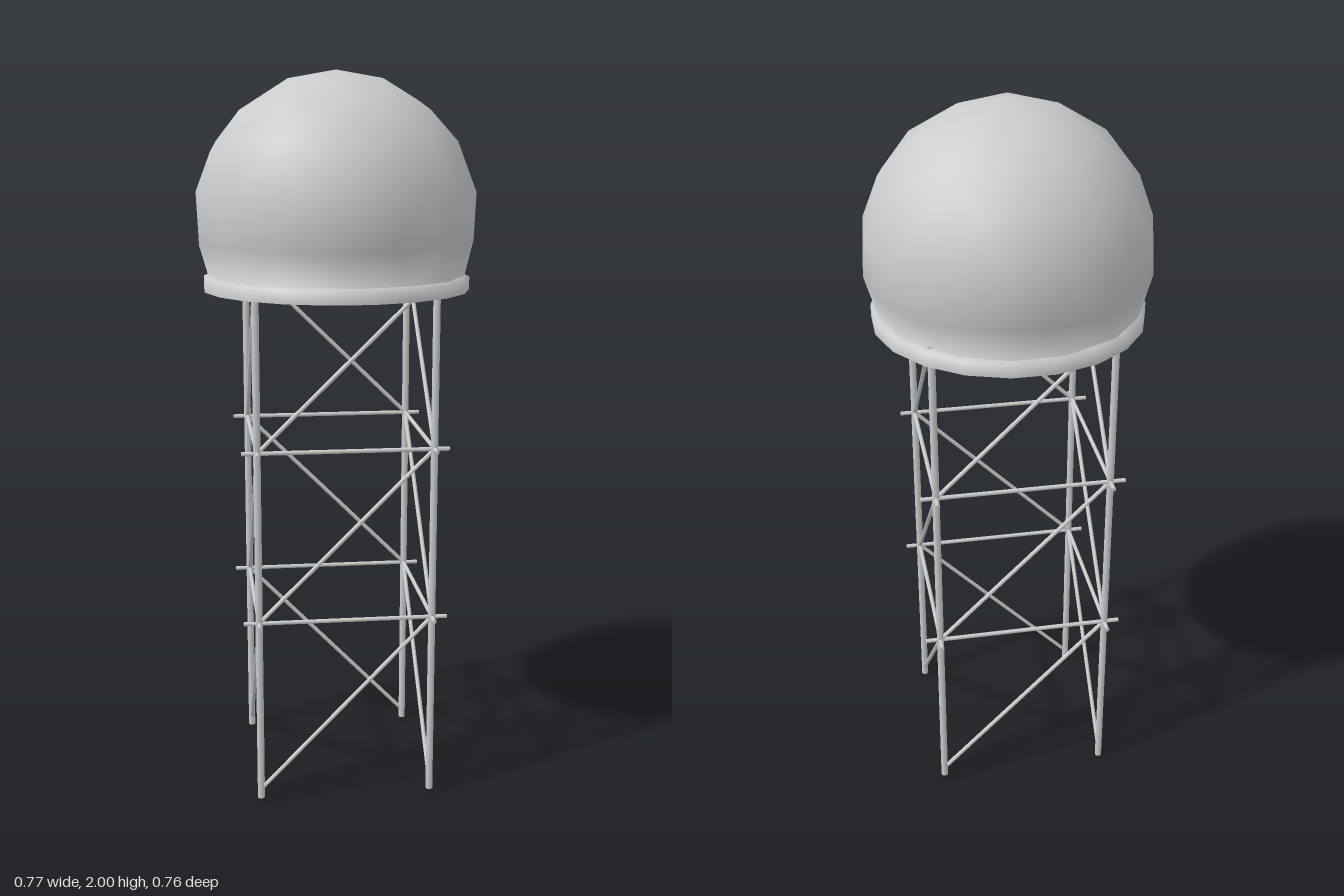
import * as THREE from 'three';

const grey = new THREE.MeshStandardMaterial({ color: 0xcccccc });
const greyShell = new THREE.MeshStandardMaterial({ color: 0xcccccc, side: THREE.DoubleSide });

const LEG_R = 0.34, DOME_R = 0.39, DOME_Y = 1.61, CUT_Y = 1.45;

// Round bar between two points, optionally running past both ends
function bar(name, a, b, radius, overhang = 0) {
  const dir = b.clone().sub(a);
  const geo = new THREE.CylinderGeometry(radius, radius, dir.length() + 2 * overhang, 8);
  const mesh = new THREE.Mesh(geo, grey);
  mesh.name = name;
  mesh.position.copy(a).add(b).multiplyScalar(0.5);
  mesh.quaternion.setFromUnitVectors(new THREE.Vector3(0, 1, 0), dir.normalize());
  return mesh;
}

// Geodesic shell with a corner at the top, cut off flat at its base
function domeGeometry() {
  const ico = new THREE.IcosahedronGeometry(DOME_R, 2);
  ico.rotateZ(Math.atan(2 / (1 + Math.sqrt(5))));
  ico.rotateY(Math.PI);
  ico.translate(0, DOME_Y, 0);
  const src = ico.attributes.position;
  const cutRadius = Math.sqrt(DOME_R ** 2 - (DOME_Y - CUT_Y) ** 2);
  const positions = [], normals = [];
  const v = new THREE.Vector3(), n = new THREE.Vector3();
  for (let i = 0; i < src.count; i += 3) {
    const face = [i, i + 1, i + 2];
    if (face.every((k) => src.getY(k) < CUT_Y)) continue;
    for (const k of face) {
      v.fromBufferAttribute(src, k);
      n.set(v.x, v.y - DOME_Y, v.z).normalize();
      if (v.y < CUT_Y) {
        // Pull low corners onto the base circle, with normals easing into the ring
        const s = cutRadius / Math.hypot(v.x, v.z);
        v.set(v.x * s, CUT_Y, v.z * s);
        n.set(v.x, 0.4 * cutRadius, v.z).normalize();
      }
      positions.push(v.x, v.y, v.z);
      normals.push(n.x, n.y, n.z);
    }
  }
  const geo = new THREE.BufferGeometry();
  geo.setAttribute('position', new THREE.Float32BufferAttribute(positions, 3));
  geo.setAttribute('normal', new THREE.Float32BufferAttribute(normals, 3));
  return geo;
}

export function createModel() {
  const model = new THREE.Group();
  model.name = 'domeTower';

  const dome = new THREE.Mesh(domeGeometry(), greyShell);
  dome.name = 'dome';
  model.add(dome);

  // Open collar under the dome
  const profile = [[0.37, 1.41], [0.37, 1.445], [0.34, 1.452]].map((p) => new THREE.Vector2(...p));
  const collar = new THREE.Mesh(new THREE.LatheGeometry(profile, 20), greyShell);
  collar.name = 'collar';
  model.add(collar);

  // Four legs with a spiral of braces: each side has one diagonal per storey
  const frame = new THREE.Group();
  frame.name = 'frame';
  const at = (i, y) => {
    const a = (i * Math.PI) / 2;
    return new THREE.Vector3(LEG_R * Math.sin(a), y, LEG_R * Math.cos(a));
  };
  const levels = [0.025, 0.52, 1.0, 1.47];
  for (let i = 0; i < 4; i++) {
    frame.add(bar('leg', at(i, 0), at(i, 1.47), 0.01));
    for (let l = 0; l < 3; l++) {
      frame.add(bar('diagonalBrace', at(i, levels[l]), at(i + 1, levels[l + 1]), 0.006));
      if (l > 0) frame.add(bar('crossBar', at(i, levels[l]), at(i + 1, levels[l]), 0.006, 0.042));
    }
  }
  model.add(frame);
  return model;
}
